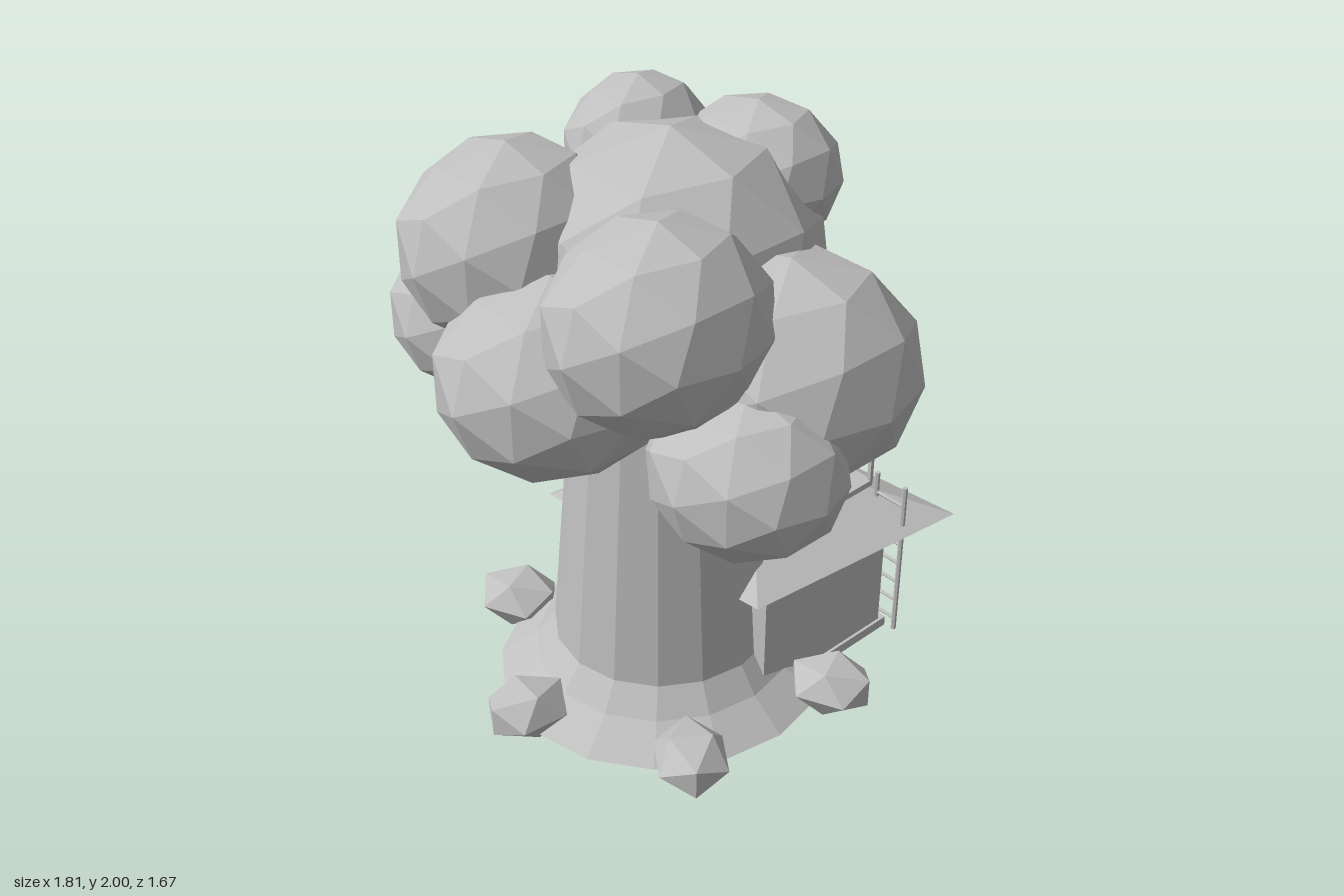
import * as THREE from 'three';

const grey = new THREE.MeshStandardMaterial({ color: 0xc0c0c0, flatShading: true });
grey.name = 'plain grey';

function add(parent, name, geometry, x = 0, y = 0, z = 0) {
  const mesh = new THREE.Mesh(geometry, grey);
  mesh.name = name;
  mesh.position.set(x, y, z);
  parent.add(mesh);
  return mesh;
}

// Box given by its extents
function block(parent, name, x0, x1, y0, y1, z0, z1) {
  return add(parent, name, new THREE.BoxGeometry(x1 - x0, y1 - y0, z1 - z0),
    (x0 + x1) / 2, (y0 + y1) / 2, (z0 + z1) / 2);
}

// Closed pyramid over four [x, z] corners, counterclockwise from above
function pyramid(corners, y, apex) {
  const c = corners.map(([x, z]) => [x, y, z]);
  const faces = [[c[0], c[2], c[1]], [c[0], c[3], c[2]]];
  for (let i = 0; i < 4; i++) faces.push([c[i], c[(i + 1) % 4], apex]);
  const geometry = new THREE.BufferGeometry();
  geometry.setAttribute('position', new THREE.Float32BufferAttribute(faces.flat(2), 3));
  geometry.computeVertexNormals();
  return geometry;
}

// Frame of four bars with a thin panel, on a wall facing -z
function framed(parent, name, x, y0, y1, width, wallZ) {
  const g = new THREE.Group();
  g.name = name;
  parent.add(g);
  const h = width / 2, t = 0.014, out = wallZ - 0.014;
  block(g, name + 'Panel', x - h + t, x + h - t, y0 + t, y1 - t, wallZ - 0.005, wallZ + 0.002);
  for (const s of [-1, 1]) {
    const edge = x + s * (h - t / 2);
    block(g, name + 'Jamb', edge - t / 2, edge + t / 2, y0, y1, out, wallZ);
  }
  block(g, name + 'Sill', x - h + t, x + h - t, y0, y0 + t, out, wallZ);
  block(g, name + 'Head', x - h + t, x + h - t, y1 - t, y1, out, wallZ);
}

function buildTree(model) {
  const tree = new THREE.Group();
  tree.name = 'tree';
  model.add(tree);

  // Sixteen-sided trunk with a flared foot
  const profile = [[0, 0.03], [0.55, 0.03], [0.43, 0.12], [0.365, 0.21], [0.275, 1.3], [0, 1.3]];
  const trunk = add(tree, 'trunk',
    new THREE.LatheGeometry(profile.map(p => new THREE.Vector2(...p)), 16), 0, 0, 0.02);
  trunk.scale.z = 1.05;

  // Leaf clumps: centre and radii
  const clumps = [
    [0, 1.5, 0, 0.49, 0.485, 0.49],
    [0.02, 1.37, 0.47, 0.355, 0.31, 0.365],
    [-0.29, 1.64, 0.37, 0.325, 0.315, 0.35],
    [0.345, 1.62, 0.36, 0.32, 0.315, 0.345],
    [-0.605, 1.24, 0.27, 0.3, 0.26, 0.29],
    [0.6, 1.23, 0.26, 0.305, 0.26, 0.28],
    [0.465, 1.38, -0.03, 0.4, 0.352, 0.4],
    [-0.465, 1.36, -0.03, 0.4, 0.345, 0.4],
    [0.01, 1.74, -0.345, 0.275, 0.228, 0.255],
    [-0.32, 1.77, -0.16, 0.22, 0.23, 0.25],
  ];
  for (const [x, y, z, rx, ry, rz] of clumps) {
    add(tree, 'leafClump', new THREE.IcosahedronGeometry(1, 1), x, y, z).scale.set(rx, ry, rz);
  }

  // Ring of six stones
  for (let i = 0; i < 6; i++) {
    const a = THREE.MathUtils.degToRad(-6 + i * 60);
    const stone = add(tree, 'stone', new THREE.IcosahedronGeometry(1, 0),
      Math.sin(a) * 0.58, 0.088, Math.cos(a) * 0.58);
    stone.scale.set(0.13, 0.1, 0.155);
    stone.rotation.y = a;
  }
}

function buildHouse(model) {
  const house = new THREE.Group();
  house.name = 'house';
  model.add(house);

  // Storeys
  block(house, 'floorSlab', -0.41, 0.41, 0.035, 0.07, -0.64, -0.05);
  block(house, 'lowerWalls', -0.4, 0.4, 0.07, 0.475, -0.615, -0.05);
  block(house, 'upperWalls', -0.29, 0.29, 0.46, 0.915, -0.495, -0.03);

  // Roofs: a skewed skirt below and a square pyramid above
  add(house, 'lowerRoof', pyramid(
    [[-0.51, 0.1], [0.42, 0.01], [0.51, -0.84], [-0.42, -0.75]], 0.47, [0, 0.69, -0.37]));
  add(house, 'upperRoof', pyramid(
    [[-0.365, 0.1], [0.365, 0.1], [0.365, -0.63], [-0.365, -0.63]], 0.91, [0, 1.28, -0.265]));
  block(house, 'chimney', 0.165, 0.275, 0.95, 1.21, -0.34, -0.23);

  // Door and windows
  framed(house, 'door', 0, 0.07, 0.39, 0.23, -0.615);
  for (const s of [-1, 1]) {
    framed(house, 'lowerWindow', s * 0.27, 0.21, 0.38, 0.19, -0.615);
    framed(house, 'upperWindow', s * 0.13, 0.68, 0.86, 0.2, -0.495);
  }

  // Balcony with railing
  block(house, 'balconyFloor', -0.3, 0.3, 0.572, 0.594, -0.65, -0.47);
  for (let i = 0; i < 5; i++) {
    const x = -0.293 + i * 0.1465;
    block(house, 'railingPost', x - 0.007, x + 0.007, 0.594, 0.7, -0.652, -0.638);
  }
  block(house, 'handrail', -0.305, 0.305, 0.695, 0.71, -0.654, -0.636);

  // Ladder
  const ladder = new THREE.Group();
  ladder.name = 'ladder';
  house.add(ladder);
  for (const x of [0.325, 0.447]) {
    add(ladder, 'ladderRail', new THREE.CylinderGeometry(0.009, 0.009, 0.6, 6), x, 0.34, -0.645);
  }
  for (let i = 0; i < 7; i++) {
    const rung = add(ladder, 'rung', new THREE.CylinderGeometry(0.006, 0.006, 0.13, 6),
      0.386, 0.085 + i * 0.0795, -0.645);
    rung.rotation.z = Math.PI / 2;
  }
}

export function createModel() {
  const model = new THREE.Group();
  model.name = 'treeHouse';
  buildTree(model);
  buildHouse(model);
  return model;
}
